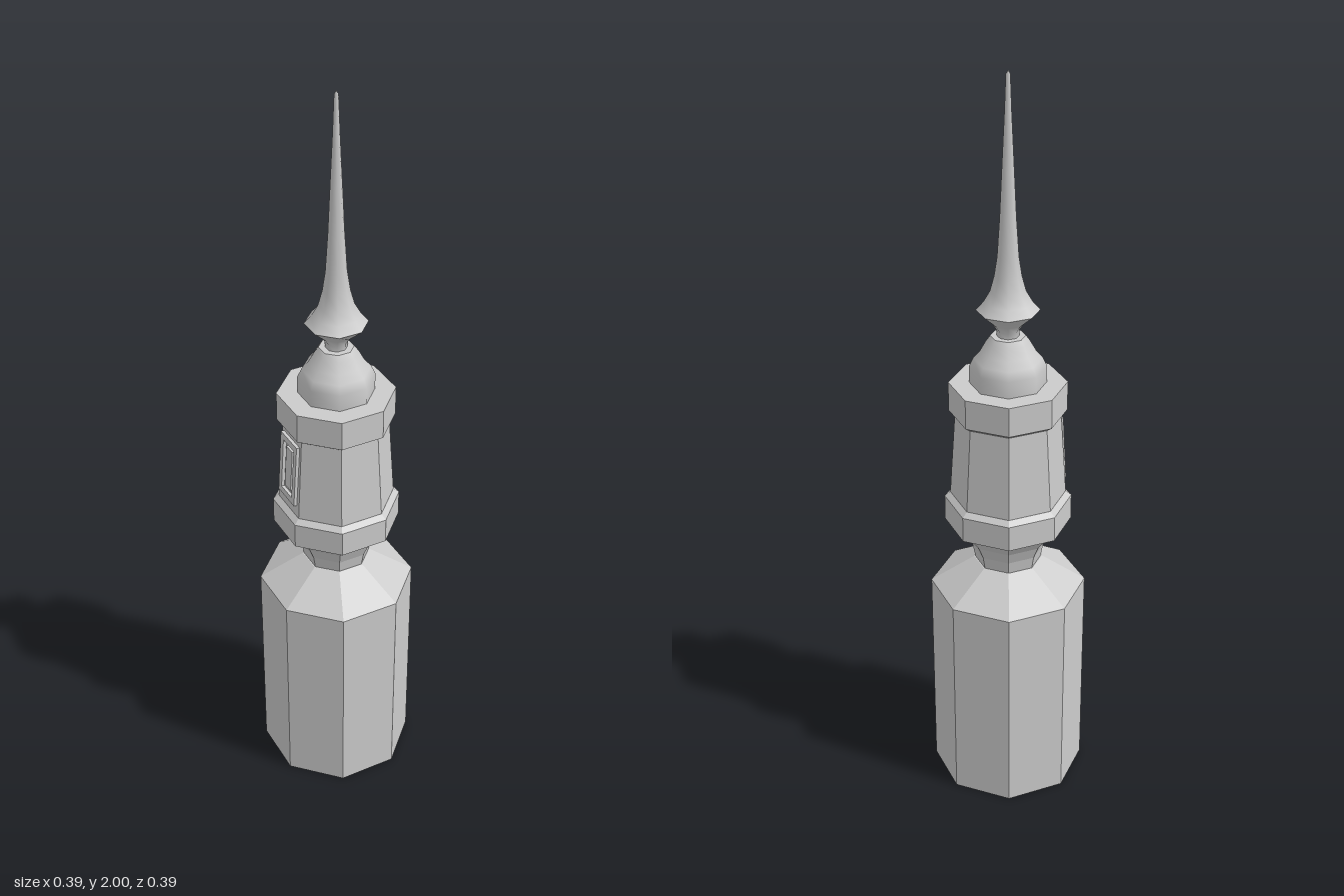
import * as THREE from 'three';

const SIDES = 8;
const flat = new THREE.MeshStandardMaterial({ color: 0xcccccc, flatShading: true, side: THREE.DoubleSide });
const smooth = new THREE.MeshStandardMaterial({ color: 0xcccccc, side: THREE.DoubleSide });

// Eight-sided turned part from [distance to flat, height] pairs, flats facing the axes
function octagonal(name, profile, material = flat) {
  const points = profile.map(([r, y]) => new THREE.Vector2(r / Math.cos(Math.PI / SIDES), y));
  const mesh = new THREE.Mesh(new THREE.LatheGeometry(points, SIDES, Math.PI / SIDES), material);
  mesh.name = name;
  return mesh;
}

function rectangle(PathType, w, h) {
  return new PathType([[-w, -h], [w, -h], [w, h], [-w, h]].map(([x, y]) => new THREE.Vector2(x / 2, y / 2)));
}

// Framed window, built facing +z
function createWindow() {
  const group = new THREE.Group();
  group.name = 'window';
  const shape = rectangle(THREE.Shape, 0.09, 0.18);
  shape.holes.push(rectangle(THREE.Path, 0.058, 0.145));
  const frame = new THREE.Mesh(new THREE.ExtrudeGeometry(shape, { depth: 0.014, bevelEnabled: false }), flat);
  frame.name = 'windowFrame';
  frame.position.z = -0.005;
  const panel = new THREE.Mesh(new THREE.BoxGeometry(0.034, 0.12, 0.012), flat);
  panel.name = 'windowPanel';
  group.add(frame, panel);
  return group;
}

export function createModel() {
  const model = new THREE.Group();
  model.name = 'tower';

  // Hollow shaft with a sloping shoulder
  model.add(octagonal('shaft', [[0.194, 0], [0.194, 0.6]]));
  model.add(octagonal('shoulder', [[0.194, 0.6], [0.085, 0.675], [0, 0.675]]));

  // Flared neck and the lower collar
  model.add(octagonal('neck', [[0.082, 0.675], [0.088, 0.71], [0.102, 0.745], [0.122, 0.775], [0.15, 0.797]]));
  model.add(octagonal('lowerCollar', [[0.13, 0.795], [0.156, 0.795], [0.156, 0.865], [0.142, 0.878], [0.13, 0.878]]));

  // Tapering lantern room and the upper collar
  model.add(octagonal('lanternRoom', [[0.142, 0.875], [0.127, 1.115]]));
  model.add(octagonal('upperCollar', [[0.126, 1.108], [0.142, 1.12], [0.142, 1.2], [0, 1.2]]));

  // Window leaning with the wall on the -x side
  const opening = createWindow();
  opening.rotation.set(-0.06, -Math.PI / 2, 0, 'YXZ');
  opening.position.set(-0.134, 1.0, 0);
  model.add(opening);

  // Dome and its flat top
  model.add(octagonal('dome', [[0.092, 1.2], [0.092, 1.245], [0.082, 1.268], [0.066, 1.288], [0.052, 1.315], [0.042, 1.33]], smooth));
  model.add(octagonal('domeTop', [[0.042, 1.33], [0, 1.33]]));

  // Bulb drawn out into a long needle
  model.add(octagonal('spireFoot', [[0.026, 1.325], [0.027, 1.345], [0.038, 1.365], [0.075, 1.4]], smooth));
  model.add(octagonal('spire', [
    [0.075, 1.4], [0.057, 1.422], [0.042, 1.45], [0.032, 1.49], [0.025, 1.54],
    [0.019, 1.64], [0.014, 1.76], [0.008, 1.9], [0.005, 1.99], [0, 2],
  ], smooth));

  return model;
}
